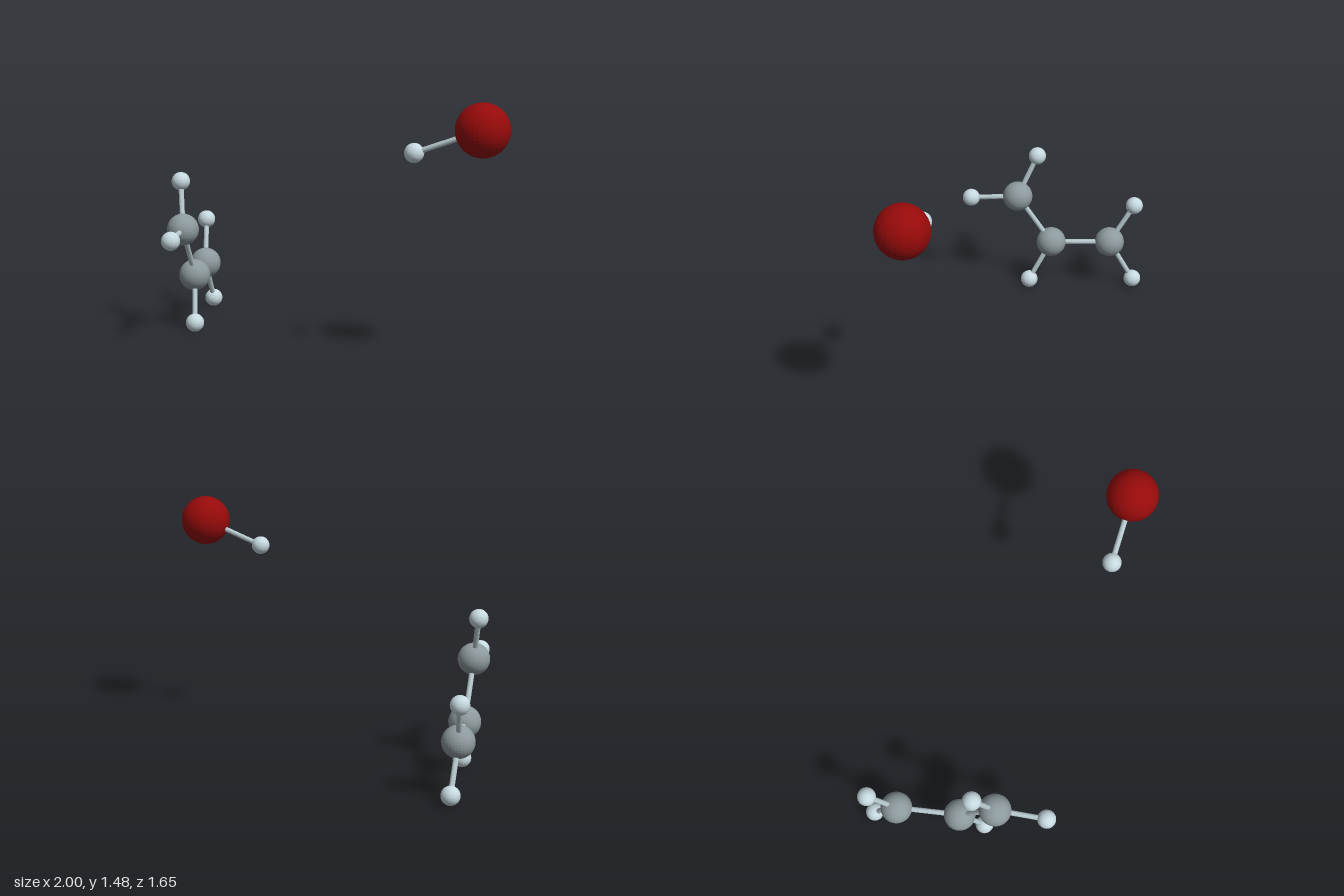
import * as THREE from 'three';

const paint = (color) => {
  const m = new THREE.MeshStandardMaterial({ flatShading: true });
  m.color.set(color);
  return m;
};
const UP = new THREE.Vector3(0, 1, 0);
const BOND_RADIUS = 0.016;

// Element styles: sphere radius and colour
const ELEMENTS = {
  carbon: { radius: 0.096, color: 0x8d9a9d },
  hydrogen: { radius: 0.056, color: 0xc6d9de },
  oxygen: { radius: 0.153, color: 0x960a0a },
};

// Atom centres
const ATOMS = {
  upperCarbon: ['carbon', -0.907, 0.65, -0.006],
  middleCarbon: ['carbon', -0.87, 0.327, -0.226],
  rearCarbon: ['carbon', -0.852, 0.327, -0.612],
  upperFrontHydrogen: ['hydrogen', -0.936, 0.633, 0.298],
  upperTopHydrogen: ['hydrogen', -0.934, 0.925, -0.135],
  middleHydrogen: ['hydrogen', -0.853, 0.057, -0.08],
  rearTopHydrogen: ['hydrogen', -0.863, 0.586, -0.77],
  rearBottomHydrogen: ['hydrogen', -0.822, 0.063, -0.768],
  oxygen: ['oxygen', 0.845, 1.33, 0.67],
  oxygenHydrogen: ['hydrogen', 0.473, 1.193, 0.577],
};

// Pairs of atoms joined by a rod
const BONDS = [
  ['upperCarbon', 'middleCarbon'],
  ['middleCarbon', 'rearCarbon'],
  ['upperCarbon', 'upperFrontHydrogen'],
  ['upperCarbon', 'upperTopHydrogen'],
  ['middleCarbon', 'middleHydrogen'],
  ['rearCarbon', 'rearTopHydrogen'],
  ['rearCarbon', 'rearBottomHydrogen'],
  ['oxygen', 'oxygenHydrogen'],
];

export function createModel() {
  const model = new THREE.Group();
  model.name = 'ballAndStickMolecules';

  // Shared sphere and material per element
  const kit = {};
  for (const [name, { radius, color }] of Object.entries(ELEMENTS)) {
    kit[name] = { geometry: new THREE.SphereGeometry(radius, 32, 24), material: paint(color) };
  }

  // Atoms
  const centres = {};
  for (const [name, [element, x, y, z]] of Object.entries(ATOMS)) {
    const atom = new THREE.Mesh(kit[element].geometry, kit[element].material);
    atom.name = name;
    atom.position.set(x, y, z);
    centres[name] = atom.position;
    model.add(atom);
  }

  // Bonds: rods running from centre to centre
  const bondMaterial = paint(0xb4c6ca);
  for (const [from, to] of BONDS) {
    const a = centres[from];
    const b = centres[to];
    const rod = new THREE.CylinderGeometry(BOND_RADIUS, BOND_RADIUS, a.distanceTo(b), 16);
    const bond = new THREE.Mesh(rod, bondMaterial);
    bond.name = `${to}Bond`;
    bond.position.lerpVectors(a, b, 0.5);
    bond.quaternion.setFromUnitVectors(UP, b.clone().sub(a).normalize());
    model.add(bond);
  }
  return model;
}
